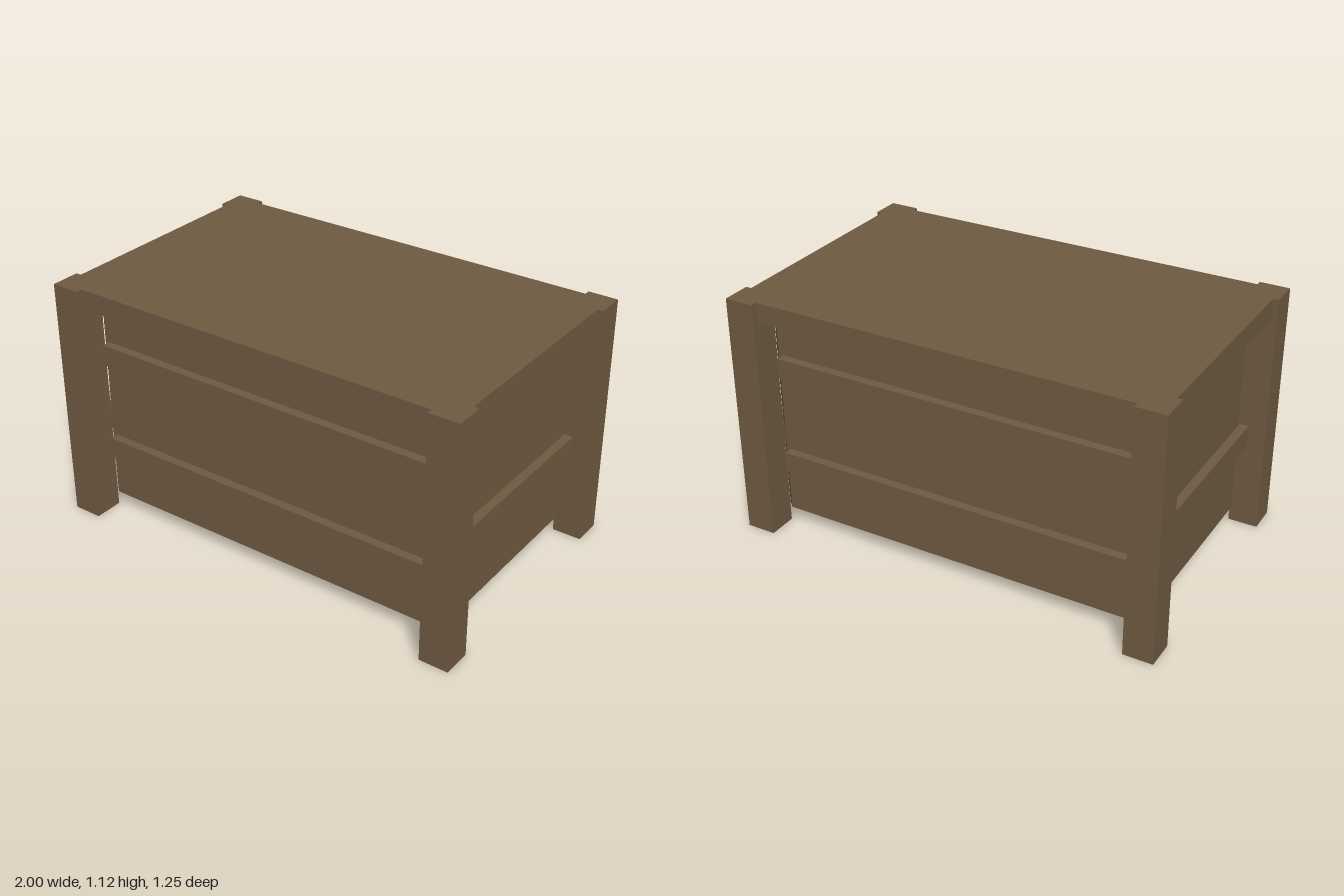
import * as THREE from 'three';

export function createModel() {
  const group = new THREE.Group();
  const wood = new THREE.MeshStandardMaterial({ color: 0x6e5a41 });
  wood.name = 'brown wood';

  const add = (name, geometry, x, y, z) => {
    const mesh = new THREE.Mesh(geometry, wood);
    mesh.name = name;
    mesh.position.set(x, y, z);
    group.add(mesh);
  };
  // box spanning the given ranges
  const box = (name, x0, x1, y0, y1, z0, z1) =>
    add(name, new THREE.BoxGeometry(x1 - x0, y1 - y0, z1 - z0),
      (x0 + x1) / 2, (y0 + y1) / 2, (z0 + z1) / 2);

  const height = 1.125, lidBottom = 1.035, bodyBottom = 0.078;
  const bodyX = 0.88, bodyZ = 0.503, cutX = 0.845, cutZ = 0.47;

  // chest body with chamfered vertical corners
  const plan = new THREE.Shape([
    [cutX, -bodyZ], [bodyX, -cutZ], [bodyX, cutZ], [cutX, bodyZ],
    [-cutX, bodyZ], [-bodyX, cutZ], [-bodyX, -cutZ], [-cutX, -bodyZ],
  ].map(([x, z]) => new THREE.Vector2(x, z)));
  const body = new THREE.ExtrudeGeometry(plan, { depth: lidBottom - bodyBottom, bevelEnabled: false });
  body.rotateX(-Math.PI / 2);
  add('body', body, 0, bodyBottom, 0);

  // lid slab, flush with the leg tops
  box('lid', -0.975, 0.975, lidBottom, height, -0.597, 0.597);

  // corner legs
  for (const sx of [-1, 1]) for (const sz of [-1, 1]) {
    add('leg', new THREE.BoxGeometry(0.135, height, 0.135), sx * 0.9325, height / 2, sz * 0.5575);
  }

  // two slats on the front and back
  for (const s of [-1, 1]) for (const y of [0.34, 0.803]) {
    add(s > 0 ? 'frontSlat' : 'backSlat', new THREE.BoxGeometry(1.65, 0.098, 0.06), 0, y, s * 0.513);
  }

  // one rail on each side, between the legs
  for (const s of [-1, 1]) {
    add(s > 0 ? 'leftRail' : 'rightRail', new THREE.BoxGeometry(0.06, 0.1, 0.98), s * 0.89, 0.452, 0);
  }
  return group;
}
